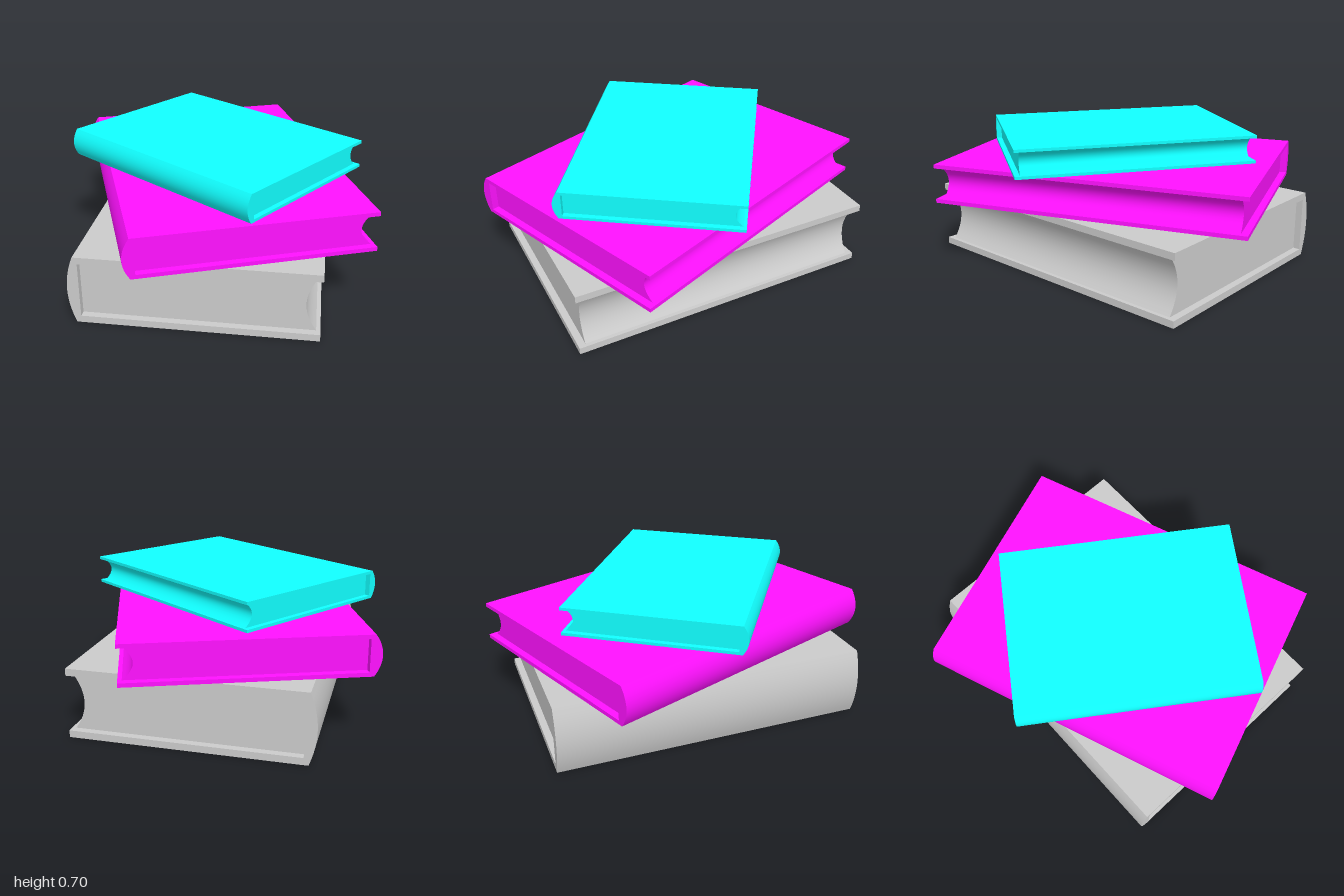
import * as THREE from 'three';
import { toCreasedNormals } from 'three/addons/utils/BufferGeometryUtils.js';

// Extrudes a book cross-section (x = spine to fore edge, y = up) along the spine
function extrudeSection(points, length) {
  const shape = new THREE.Shape(points.map(([x, y]) => new THREE.Vector2(x, y)));
  const geometry = new THREE.ExtrudeGeometry(shape, { depth: length, bevelEnabled: false });
  geometry.translate(0, 0, -length / 2);
  return toCreasedNormals(geometry, 0.5);
}

// Points of a shallow curve at x, bowed toward -x, running from yFrom to yTo
function bow(x, depth, yFrom, yTo, steps = 12) {
  const points = [];
  for (let i = 0; i <= steps; i++) {
    const t = i / steps;
    points.push([x - depth * 4 * t * (1 - t), yFrom + (yTo - yFrom) * t]);
  }
  return points;
}

function createBook({ name, color, scale, height, x, y, z, angle }) {
  const material = new THREE.MeshStandardMaterial({ color });
  const length = 1.613 * scale;
  const bulge = 0.036 * scale;
  const foreEdge = 0.599 * scale;
  const spine = -foreEdge + bulge;
  const spineInside = spine + 0.022 * scale;
  const board = 0.1 * height;

  // Two cover boards joined by a rounded spine
  const cover = new THREE.Mesh(extrudeSection([
    [foreEdge, 0], [foreEdge, board],
    [spineInside, board], [spineInside, height - board],
    [foreEdge, height - board], [foreEdge, height],
    ...bow(spine, bulge, height, 0),
  ], length), material);
  cover.name = 'cover';

  // Page block, set back from the boards, with a hollow fore edge
  const pages = new THREE.Mesh(extrudeSection([
    [spineInside, height - board], [spineInside, board],
    ...bow(foreEdge - 0.02 * scale, 0.052 * scale, board, height - board),
  ], length - 0.072 * scale), material);
  pages.name = 'pages';

  const book = new THREE.Group();
  book.name = name;
  book.add(cover, pages);
  book.position.set(x, y, z);
  book.rotation.y = THREE.MathUtils.degToRad(angle);
  return book;
}

export function createModel() {
  const model = new THREE.Group();
  model.name = 'bookStack';
  const books = [
    { name: 'bottomBook', color: 0xcccccc, scale: 1, height: 0.355, x: 0, y: 0, z: 0, angle: 46.4 },
    { name: 'middleBook', color: 0xff11ff, scale: 1, height: 0.203, x: 0, y: 0.355, z: 0.005, angle: 67.1 },
    { name: 'topBook', color: 0x11ffff, scale: 0.76, height: 0.146, x: 0.032, y: 0.558, z: 0.031, angle: 101.9 },
  ];
  for (const book of books) model.add(createBook(book));
  return model;
}
